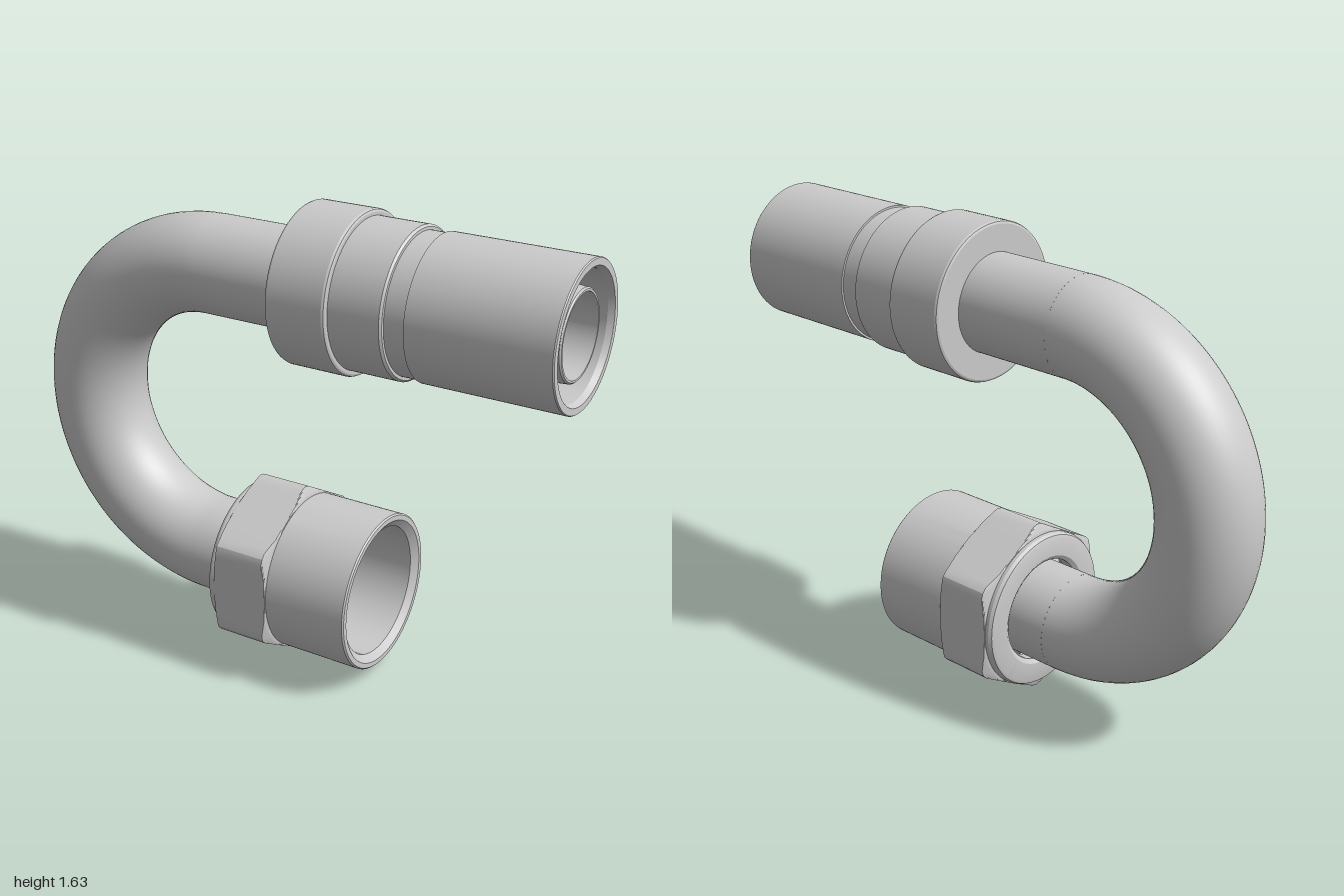
import * as THREE from 'three';
import { toCreasedNormals } from 'three/addons/utils/BufferGeometryUtils.js';

const material = new THREE.MeshStandardMaterial({ color: 0xcccccc, side: THREE.DoubleSide });
const TOP = 1.36, LOW = 0.315;      // heights of the two pipe axes
const BEND_X = -0.31;               // where the bend meets the straight ends
const TUBE = 0.168, BORE = 0.133;   // outer and inner tube radii
const FLAT = 0.277;                 // hexagon, centre to flat

// Turned part along x from [x, radius] pairs; optional rule reshapes the radius by angle
function turned(name, y, profile, reshape) {
  const geo = new THREE.LatheGeometry(profile.map(([x, r]) => new THREE.Vector2(r, x)), 96);
  if (reshape) {
    const p = geo.attributes.position;
    for (let i = 0; i < p.count; i++) {
      const r = Math.hypot(p.getX(i), p.getZ(i));
      const a = Math.atan2(p.getX(i), p.getZ(i));
      const k = reshape(r, a) / r;
      p.setX(i, p.getX(i) * k);
      p.setZ(i, p.getZ(i) * k);
    }
  }
  geo.rotateZ(-Math.PI / 2);
  const mesh = new THREE.Mesh(toCreasedNormals(geo, 0.4), material);
  mesh.name = name;
  mesh.position.y = y;
  return mesh;
}

// Limits a radius to a hexagon with flats facing front and back
function hexLimit(r, a) {
  const sector = Math.PI / 3;
  const off = a - Math.round(a / sector) * sector;
  return Math.min(r, FLAT / Math.cos(off));
}

export function createModel() {
  const model = new THREE.Group();

  // U-bend: outer wall and bore
  for (const [name, r] of [['bendOuterWall', TUBE], ['bendBore', BORE]]) {
    const bend = new THREE.Mesh(
      new THREE.TorusGeometry((TOP - LOW) / 2, r, 48, 80, Math.PI), material);
    bend.name = name;
    bend.rotation.z = Math.PI / 2;
    bend.position.set(BEND_X, (TOP + LOW) / 2, 0);
    model.add(bend);
  }

  // Upper straight, running on as the barbed hose insert
  model.add(turned('upperTubeAndInsert', TOP, [
    [BEND_X, TUBE], [0.8, TUBE], [0.84, 0.168], [0.9, 0.15], [0.975, 0.145],
    [0.98, 0.14], [0.98, BORE], [BEND_X, BORE],
  ]));

  // Stepped crimp sleeve over the insert
  model.add(turned('crimpSleeve', TOP, [
    [0.05, TUBE - 0.01], [0.05, 0.258], [0.053, 0.265], [0.06, 0.268], [0.255, 0.268],
    [0.262, 0.265], [0.265, 0.258], [0.265, 0.247], [0.443, 0.247], [0.45, 0.24],
    [0.45, 0.23], [0.52, 0.23], [0.52, 0.237], [0.996, 0.237], [1, 0.234],
    [1, 0.212], [0.98, 0.203], [0.8, 0.203], [0.8, TUBE - 0.01],
  ]));

  // Lower straight with a flared, coned sealing nose inside the nut
  model.add(turned('lowerTubeAndNose', LOW, [
    [BEND_X, TUBE], [-0.13, TUBE], [-0.07, 0.217], [0.06, 0.217], [0.075, 0.207],
    [0.075, 0.192], [-0.02, BORE], [BEND_X, BORE],
  ]));

  // Swivel nut: washer face, chamfered hexagon and round threaded sleeve
  const chamfer = [0, 0.25, 0.5, 0.75, 1];
  model.add(turned('swivelNut', LOW, [
    [-0.185, 0.195], [-0.185, 0.257], [-0.181, 0.268], [-0.17, 0.274], [-0.157, 0.274],
    ...chamfer.map((t) => [-0.157 + 0.012 * t, FLAT + 0.036 * t]),
    ...chamfer.map((t) => [0.037 + 0.013 * t, 0.313 - 0.036 * t]),
    [0.05, 0.272], [0.345, 0.272], [0.35, 0.267], [0.35, 0.25], [0.33, 0.225],
    [-0.07, 0.225], [-0.13, 0.18], [-0.175, 0.18], [-0.185, 0.195],
  ], hexLimit));

  // Small round mark on the lower front flat
  const mark = new THREE.Mesh(new THREE.CylinderGeometry(0.025, 0.025, 0.006, 24), material);
  mark.name = 'nutMark';
  const normal = new THREE.Vector3(0, -Math.sin(Math.PI / 3), 0.5);
  const along = new THREE.Vector3(0, 0.5, Math.sin(Math.PI / 3));
  mark.quaternion.setFromUnitVectors(new THREE.Vector3(0, 1, 0), normal);
  mark.position.set(-0.07, LOW, 0).addScaledVector(normal, FLAT).addScaledVector(along, 0.086);
  model.add(mark);

  return model;
}
